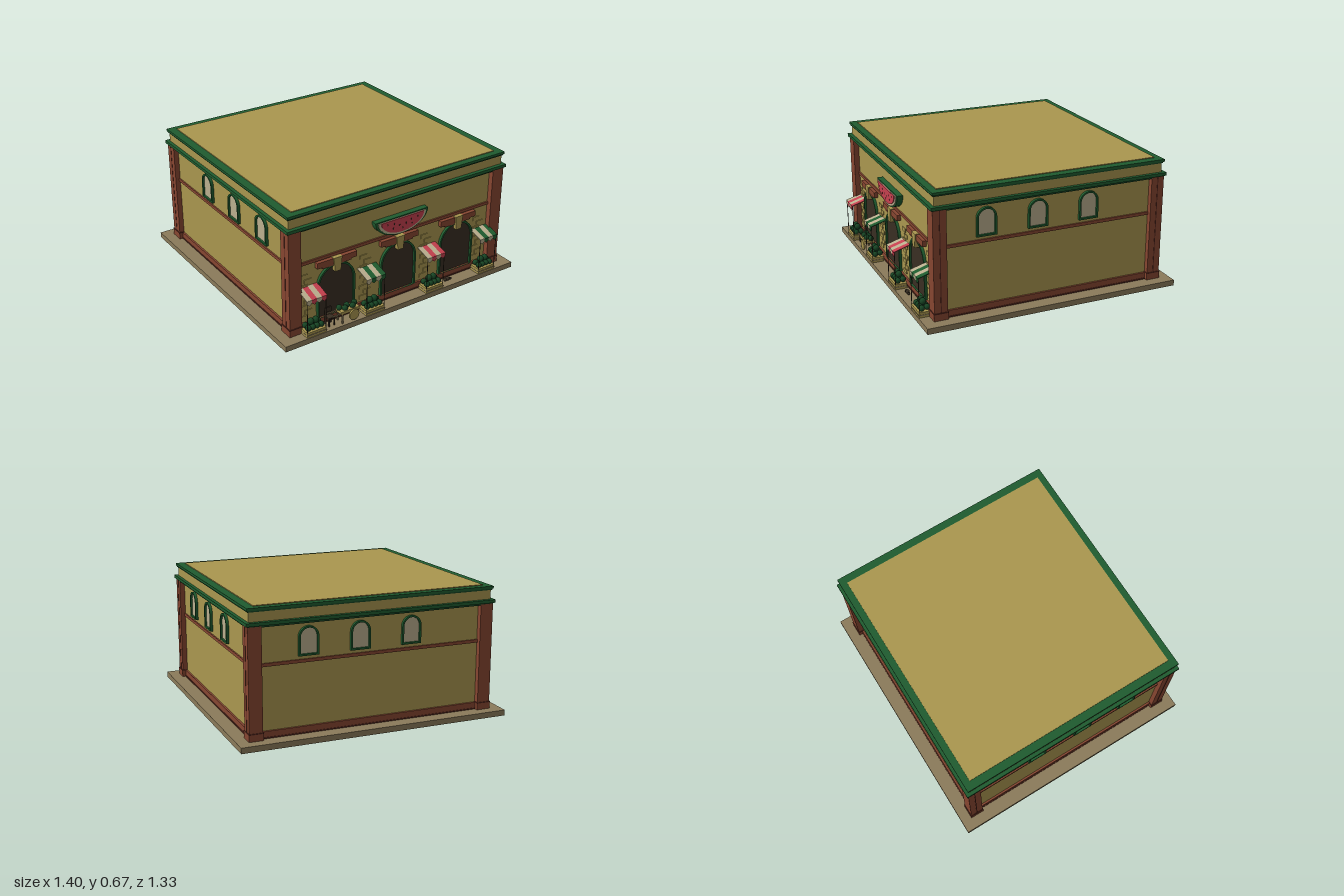
import * as THREE from 'three';

const mat = (name, color) => {
  const m = new THREE.MeshStandardMaterial({ color });
  m.name = name;
  return m;
};

export function createModel() {
  const M = {
    ochre: mat('ochre plaster', 0xaa974f),
    green: mat('trim green', 0x1f5c2f),
    brick: mat('brick red', 0x874631),
    stone: mat('paving stone', 0x8b7b5a),
    dark: mat('dark interior', 0x392e22),
    cream: mat('cream', 0xbcb08f),
    red: mat('fruit red', 0xc5404e),
    leaf: mat('dark leaf', 0x174524),
    shade: mat('brick shadow', 0x5a2a20),
  };
  const root = new THREE.Group();
  const add = (parent, name, geo, m, x = 0, y = 0, z = 0) => {
    const mesh = new THREE.Mesh(geo, m);
    mesh.name = name;
    mesh.position.set(x, y, z);
    parent.add(mesh);
    return mesh;
  };
  const group = (parent, name, x = 0, y = 0, z = 0) => {
    const g = new THREE.Group();
    g.name = name;
    g.position.set(x, y, z);
    parent.add(g);
    return g;
  };
  // box given by its minimum and maximum corners
  const box = (parent, name, m, x0, x1, y0, y1, z0, z1) =>
    add(parent, name, new THREE.BoxGeometry(x1 - x0, y1 - y0, z1 - z0), m,
      (x0 + x1) / 2, (y0 + y1) / 2, (z0 + z1) / 2);
  const extrude = (shape, depth) =>
    new THREE.ExtrudeGeometry(shape, { depth, bevelEnabled: false, curveSegments: 10 });
  // round-topped outline standing on y = b
  const arch = (w, h, b = 0, Type = THREE.Shape) => {
    const s = new Type();
    s.moveTo(-w, b);
    s.lineTo(w, b);
    s.lineTo(w, h - w);
    s.absarc(0, h - w, w, 0, Math.PI, false);
    s.closePath();
    return s;
  };
  // framed arched opening facing +z
  const opening = (parent, name, w, h, t, b, fill) => {
    const g = group(parent, name);
    const rim = arch(w, h);
    rim.holes.push(arch(w - t, h - t, b, THREE.Path));
    add(g, 'archFrame', extrude(rim, 0.015), M.green);
    add(g, 'archPanel', extrude(arch(w - t, h - t, b), 0.005), fill);
    return g;
  };

  // ground slab, walls and roof
  box(root, 'pavement', M.stone, -0.7, 0.7, 0.001, 0.03, -0.665, 0.665);
  box(root, 'walls', M.ochre, -0.615, 0.615, 0, 0.6, -0.58, 0.58);
  box(root, 'parapet', M.ochre, -0.632, 0.632, 0.59, 0.65, -0.597, 0.597);
  box(root, 'lowerCornice', M.green, -0.65, 0.65, 0.58, 0.596, -0.617, 0.617);
  box(root, 'lowerCorniceShadow', M.leaf, -0.64, 0.64, 0.57, 0.58, -0.607, 0.607);
  box(root, 'upperCornice', M.green, -0.642, 0.642, 0.65, 0.663, -0.607, 0.607);
  box(root, 'upperCorniceShadow', M.leaf, -0.637, 0.637, 0.643, 0.65, -0.602, 0.602);
  box(root, 'roof', M.ochre, -0.6, 0.6, 0.655, 0.667, -0.572, 0.572);

  // brick bands around the building
  box(root, 'baseBand', M.brick, -0.625, 0.625, 0.03, 0.065, -0.59, 0.59);
  box(root, 'baseBandFoot', M.shade, -0.628, 0.628, 0.03, 0.036, -0.593, 0.593);
  box(root, 'middleBand', M.brick, -0.622, 0.622, 0.377, 0.393, -0.587, 0.587);

  // corner pillars
  for (const sx of [-1, 1]) for (const sz of [-1, 1]) {
    const g = group(root, 'cornerPillar', sx * 0.607, 0, sz * 0.574);
    box(g, 'pillarShaft', M.brick, -0.034, 0.034, 0.03, 0.575, -0.034, 0.034);
    box(g, 'pillarFoot', M.brick, -0.037, 0.037, 0.03, 0.065, -0.037, 0.037);
    box(g, 'pillarFootLine', M.shade, -0.0375, 0.0375, 0.063, 0.068, -0.0375, 0.0375);
    box(g, 'pillarSeamSide', M.shade, -0.0355, 0.0355, 0.065, 0.575, -0.002, 0.002);
  }

  // arched windows on the sides and back
  for (const p of [0.335, 0.07, -0.2]) {
    for (const side of [-1, 1]) {
      const w = opening(root, 'sideWindow', 0.051, 0.142, 0.009, 0.009, M.cream);
      w.position.set(side * 0.614, 0.41, p);
      w.rotation.y = side * Math.PI / 2;
    }
    const w = opening(root, 'backWindow', 0.051, 0.142, 0.009, 0.009, M.cream);
    w.position.set(p, 0.41, -0.579);
    w.rotation.y = Math.PI;
  }

  // front archways with lintel bricks and keystones
  for (const x of [-0.368, 0, 0.368]) {
    const d = opening(root, 'archway', 0.108, 0.275, 0.01, 0, M.dark);
    d.position.set(x, 0.065, 0.579);
    const g = group(root, 'lintel', x, 0, 0.58);
    box(g, 'lintelBrick', M.brick, -0.112, 0.112, 0.342, 0.372, 0, 0.02);
    box(g, 'lintelStep', M.brick, -0.082, 0.082, 0.332, 0.35, 0, 0.016);
    const key = new THREE.Shape([[-0.016, 0], [0.016, 0], [0.024, 0.073], [-0.024, 0.073]]
      .map(([a, b]) => new THREE.Vector2(a, b)));
    add(g, 'keystone', extrude(key, 0.026), M.ochre, 0, 0.302, 0);
  }

  // raised bricks on the piers between the arches
  for (const x of [-0.525, -0.185, 0.185, 0.525]) for (let r = 0; r < 9; r++) {
    const s = r % 2 ? 0.012 : -0.012;
    box(root, 'wallBrick', M.ochre, x + s - 0.03, x + s + 0.012, 0.08 + r * 0.028, 0.1 + r * 0.028, 0.58, 0.584);
  }

  // melon slice sign: layered half ellipses, flat side up
  const sign = group(root, 'melonSign', 0, 0.49, 0.58);
  const slice = (rx, ry) => {
    const s = new THREE.Shape();
    s.absellipse(0, 0, rx, ry, Math.PI, Math.PI * 2, false);
    s.closePath();
    return s;
  };
  add(sign, 'rind', extrude(slice(0.158, 0.097), 0.03), M.green);
  add(sign, 'pith', extrude(slice(0.143, 0.085), 0.034), M.cream, 0, -0.006, 0);
  add(sign, 'flesh', extrude(slice(0.128, 0.074), 0.038), M.red, 0, -0.007, 0);
  for (let i = 0; i < 9; i++) {
    const a = Math.PI * (1.1 + 0.1 * i);
    const r = i % 2 ? 0.5 : 0.75;
    const seed = add(sign, 'seed', new THREE.SphereGeometry(0.005, 6, 4), M.dark,
      Math.cos(a) * 0.128 * r, -0.007 + Math.sin(a) * 0.074 * r, 0.038);
    seed.scale.set(0.7, 1.2, 0.4);
  }

  // fruit stalls: striped awning, posts, crate and melons
  const melon = (parent, x, y, z, r) =>
    add(parent, 'melon', new THREE.SphereGeometry(r, 10, 8), M.leaf, x, y, z);
  const stall = (x, colour) => {
    const g = group(root, 'fruitStall', x);
    const n = 4, sw = 0.112 / n;
    for (let i = 0; i < n; i++) {
      const m = i % 2 ? colour : M.cream;
      const cx = -0.056 + sw * (i + 0.5);
      const cloth = add(g, 'awningStripe', new THREE.BoxGeometry(sw, 0.004, 0.089), m, cx, 0.245, 0.622);
      cloth.rotation.x = 0.29;
      const flap = new THREE.Shape();
      flap.moveTo(-sw / 2, 0);
      flap.lineTo(-sw / 2, -0.018);
      flap.lineTo(0, -0.03);
      flap.lineTo(sw / 2, -0.018);
      flap.lineTo(sw / 2, 0);
      add(g, 'awningFlap', extrude(flap, 0.003), m, cx, 0.235, 0.661);
    }
    for (const s of [-1, 1]) {
      add(g, 'awningPost', new THREE.CylinderGeometry(0.002, 0.002, 0.2, 6), M.dark, s * 0.052, 0.13, 0.66);
    }
    const crate = group(g, 'crate');
    box(crate, 'crateBody', M.ochre, -0.054, 0.054, 0.03, 0.058, 0.6, 0.662);
    box(crate, 'crateSlat', M.stone, -0.055, 0.055, 0.04, 0.045, 0.599, 0.664);
    for (let i = 0; i < 4; i++) {
      melon(g, -0.036 + i * 0.024, 0.07, 0.642, 0.015);
      melon(g, -0.036 + i * 0.024, 0.074, 0.615, 0.015);
    }
    for (const dx of [-0.014, 0.014]) melon(g, dx, 0.095, 0.628, 0.017);
  };
  stall(-0.525, M.red);
  stall(-0.185, M.green);
  stall(0.183, M.red);
  stall(0.525, M.green);

  // melon cart with a wheel and handles
  const cart = group(root, 'melonCart', -0.33, 0, 0.628);
  box(cart, 'cartBed', M.ochre, -0.05, 0.055, 0.082, 0.098, -0.025, 0.025);
  const wheel = add(cart, 'cartWheel', new THREE.CylinderGeometry(0.028, 0.028, 0.008, 16), M.ochre, 0.02, 0.066, 0.03);
  wheel.rotation.x = Math.PI / 2;
  for (const z of [-0.02, 0.02]) {
    box(cart, 'cartHandle', M.stone, -0.1, -0.045, 0.083, 0.089, z - 0.003, z + 0.003);
    box(cart, 'cartLeg', M.stone, -0.045, -0.038, 0.03, 0.084, z - 0.003, z + 0.003);
  }
  for (let i = 0; i < 5; i++) melon(cart, -0.042 + i * 0.022, 0.106, i % 2 ? 0.01 : -0.008, 0.015);

  // small chair beside the cart
  const chair = group(root, 'chair', -0.425, 0, 0.62);
  box(chair, 'chairSeat', M.dark, -0.018, 0.018, 0.07, 0.077, -0.018, 0.018);
  box(chair, 'chairBack', M.dark, -0.018, 0.018, 0.095, 0.12, -0.018, -0.012);
  for (const x of [-0.015, 0.015]) for (const z of [-0.015, 0.015]) {
    box(chair, 'chairLeg', M.dark, x - 0.003, x + 0.003, 0.03, z < 0 ? 0.12 : 0.07, z - 0.003, z + 0.003);
  }

  // scraps on the pavement
  for (const [x, r] of [[0.285, 0.009], [0.3, 0.011], [0.318, 0.007]]) {
    add(root, 'scrap', new THREE.SphereGeometry(r, 8, 6), M.dark, x, 0.03 + r, 0.62);
  }
  return root;
}
